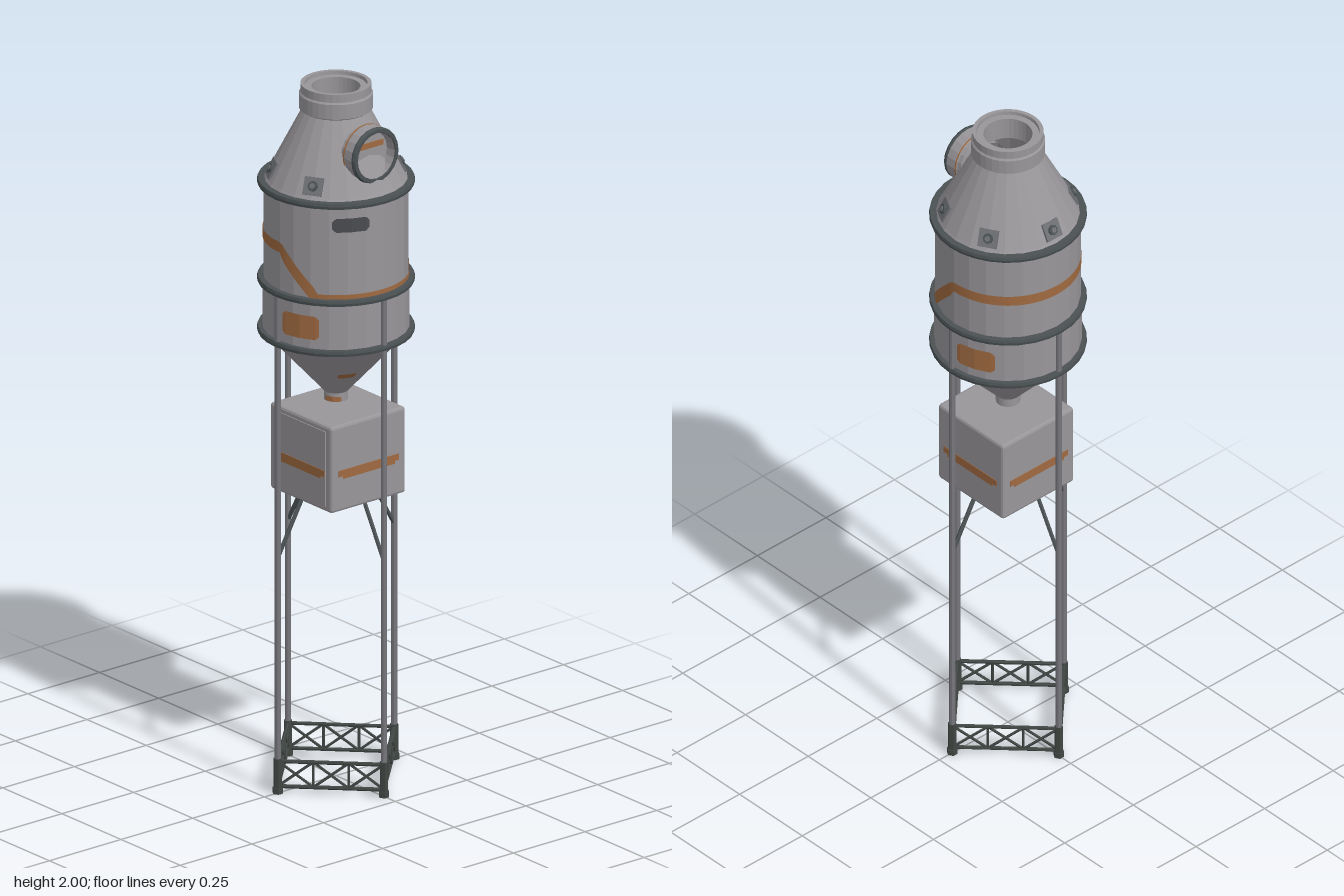
import * as THREE from 'three';
import { RoundedBoxGeometry } from 'three/addons/geometries/RoundedBoxGeometry.js';

function paint(name, color, side = THREE.FrontSide) {
  const m = new THREE.MeshStandardMaterial({ color, side, flatShading: true });
  m.name = name;
  return m;
}

export function createModel() {
  const model = new THREE.Group();
  model.name = 'siloTower';

  const shell = paint('shellGrey', 0x99969a, THREE.DoubleSide);
  const rim = paint('rimDarkGrey', 0x4b5254);
  const steel = paint('legSteel', 0x77767c);
  const base = paint('baseDark', 0x404643);
  const bolt = paint('boltGrey', 0x6e7074);
  const vent = paint('ventCharcoal', 0x4a4c50, THREE.DoubleSide);
  const orange = paint('markingOrange', 0xa06a40, THREE.DoubleSide);

  function add(name, geometry, material, parent = model) {
    const mesh = new THREE.Mesh(geometry, material);
    mesh.name = name;
    parent.add(mesh);
    return mesh;
  }
  const lathe = (pts, n) => new THREE.LatheGeometry(pts.map(p => new THREE.Vector2(p[0], p[1])), n);
  const polar = (a, r, y) => new THREE.Vector3(Math.sin(a) * r, y, Math.cos(a) * r);

  // Straight bar between two points
  function strut(name, a, b, r, sides, material, parent = model) {
    const dir = b.clone().sub(a);
    const m = add(name, new THREE.CylinderGeometry(r, r, dir.length(), sides), material, parent);
    m.position.copy(a).add(b).multiplyScalar(0.5);
    m.quaternion.setFromUnitVectors(new THREE.Vector3(0, 1, 0), dir.normalize());
  }

  // Thin curved plate; rows are [angle in degrees, low y, high y], radius depends on y
  function wrap(name, rows, radius, material) {
    const pos = [], idx = [];
    rows.forEach(([deg, lo, hi], i) => {
      const a = THREE.MathUtils.degToRad(deg);
      pos.push(...polar(a, radius(lo), lo).toArray(), ...polar(a, radius(hi), hi).toArray());
      if (i) idx.push(2 * i - 2, 2 * i, 2 * i - 1, 2 * i, 2 * i + 1, 2 * i - 1);
    });
    const g = new THREE.BufferGeometry();
    g.setAttribute('position', new THREE.Float32BufferAttribute(pos, 3));
    g.setIndex(idx);
    g.computeVertexNormals();
    add(name, g, material);
  }
  // Plate with clipped corners
  const badge = (c, half, lo, hi, cut) => [
    [c - half, lo + cut, hi - cut], [c - half * 0.8, lo, hi], [c, lo, hi],
    [c + half * 0.8, lo, hi], [c + half, lo + cut, hi - cut]];

  // Open-topped vessel: outlet, hopper, drums, shoulder cone
  add('vessel', lathe([[0.033, 1.09], [0.033, 1.115], [0.197, 1.295], [0.199, 1.3],
    [0.199, 1.44], [0.196, 1.445], [0.196, 1.725], [0.19, 1.735], [0.092, 1.925]], 24), shell);
  // Neck with a thicker collar and a stepped inner lip
  add('neck', lathe([[0.066, 1.925], [0.092, 1.925], [0.1, 1.93], [0.1, 1.972], [0.096, 1.977],
    [0.096, 2], [0.085, 2], [0.084, 1.99], [0.066, 1.99], [0.066, 1.925]], 32), shell);

  // Hoops round the vessel
  for (const y of [1.296, 1.441, 1.721]) {
    add('hoop', lathe([[0.19, y - 0.008], [0.211, y - 0.008], [0.213, y], [0.211, y + 0.008],
      [0.19, y + 0.008]], 32), rim);
  }

  // Side inlet on the shoulder, opening towards +x
  const inlet = new THREE.Group();
  inlet.name = 'sideInlet';
  inlet.position.set(0, 1.838, 0);
  inlet.rotation.z = -Math.PI / 2;
  model.add(inlet);
  add('inletPipe', lathe([[0.066, 0.085], [0.066, 0.108], [0.073, 0.11], [0.073, 0.122]], 20), shell, inlet);
  add('inletFlange', lathe([[0.06, 0.122], [0.074, 0.122], [0.078, 0.13], [0.078, 0.166]], 20), shell, inlet);
  add('inletRim', lathe([[0.078, 0.16], [0.0795, 0.161], [0.0795, 0.167], [0.076, 0.1725],
    [0.066, 0.1725], [0.065, 0.168]], 20), rim, inlet);
  add('inletThroat', lathe([[0.065, 0.17], [0.062, 0.14], [0, 0.14]], 20), shell, inlet);
  add('inletBand', lathe([[0.0775, 0.124], [0.0787, 0.124], [0.0787, 0.128], [0.0775, 0.128]], 20), orange, inlet);
  add('inletMark', new THREE.BoxGeometry(0.016, 0.003, 0.095), orange, inlet).position.set(-0.022, 0.142, 0);

  // Lifting lugs lying on the shoulder cone, none under the inlet
  for (let i = 1; i < 6; i++) {
    const a = Math.PI / 2 + i * Math.PI / 3;
    const lug = new THREE.Group();
    lug.name = 'lug';
    lug.position.copy(polar(a, 0.17, 1.76));
    lug.rotation.set(-0.48, a, 0, 'YXZ');
    model.add(lug);
    add('lugPlate', new THREE.BoxGeometry(0.054, 0.05, 0.018), bolt, lug);
    const ring = add('lugCollar', new THREE.CylinderGeometry(0.014, 0.015, 0.008, 8), rim, lug);
    ring.rotation.x = Math.PI / 2;
    ring.position.z = 0.01;
    const pin = add('lugBolt', new THREE.CylinderGeometry(0.008, 0.008, 0.008, 6), bolt, lug);
    pin.rotation.x = Math.PI / 2;
    pin.position.z = 0.013;
  }

  // Painted stripe: high on the -x half, low on the +x half, sloping between
  const stripe = [];
  for (let d = 0; d <= 360; d += 4) {
    const fromFront = d <= 180 ? Math.min(d, 180 - d) : 0;
    const y = 1.573 - 0.126 * THREE.MathUtils.clamp(fromFront / 36, 0, 1);
    const h = fromFront > 0 && fromFront < 36 ? 0.022 : 0.015;
    stripe.push([d, y - h, y + h]);
  }
  wrap('drumStripe', stripe, () => 0.1975, orange);
  for (const c of [21, 201]) wrap('drumPatch', badge(c, 16.5, 1.33, 1.397, 0.01), () => 0.201, orange);
  wrap('ventPanel', badge(62.5, 15, 1.642, 1.682, 0.01), () => 0.199, vent);
  wrap('hopperPatch', badge(67, 14, 1.182, 1.198, 0.003), y => 0.035 + (y - 1.115) * 0.911, orange);
  wrap('outletPatch', badge(35, 40, 1.091, 1.105, 0.002), () => 0.0345, orange);

  // Equipment box with a front panel and painted stripes
  const box = new THREE.Group();
  box.name = 'equipmentBox';
  box.position.set(0.002, 0.947, -0.005);
  model.add(box);
  add('boxBody', new RoundedBoxGeometry(0.26, 0.248, 0.26, 1, 0.008), shell, box);
  add('boxPanel', new THREE.BoxGeometry(0.215, 0.215, 0.006), shell, box).position.z = 0.13;
  for (let i = 0; i < 4; i++) {
    const side = new THREE.Group();
    side.name = 'boxStripe';
    side.rotation.y = i * Math.PI / 2;
    box.add(side);
    const z = i === 0 ? 0.133 : 0.13;
    add('stripeLong', new THREE.BoxGeometry(0.21, 0.018, 0.003), orange, side).position.set(0, -0.014, z);
    add('stripeShort', new THREE.BoxGeometry(0.18, 0.01, 0.003), orange, side).position.set(0, -0.026, z);
  }
  add('bottomStripe', new THREE.BoxGeometry(0.026, 0.003, 0.21), orange, box).position.y = -0.124;

  // Four legs with feet, box braces and base trusses
  const R = 0.203, n = 3, y0 = 0.02, y1 = 0.092;
  for (let i = 0; i < 4; i++) {
    const a = i * Math.PI / 2, b = a + Math.PI / 2;
    strut('leg', polar(a, R, 0), polar(a, R, 1.445), 0.0085, 8, steel);
    strut('foot', polar(a, R, 0), polar(a, R, 0.1), 0.012, 6, base);
    strut('footPad', polar(a, R, 0), polar(a, R, 0.016), 0.015, 6, base);
    strut('boxBrace', polar(a, 0.12, 0.826), polar(a, R, 0.678), 0.006, 6, rim);

    const truss = new THREE.Group();
    truss.name = 'baseTruss';
    model.add(truss);
    const at = (t, y) => polar(a, R, y).lerp(polar(b, R, y), t);
    for (const y of [y0, y1]) strut('rail', at(0, y), at(1, y), 0.0055, 6, base, truss);
    for (let k = 0; k < n; k++) {
      const s = k / n, e = (k + 1) / n;
      strut('diagonal', at(s, y0), at(e, y1), 0.004, 5, base, truss);
      strut('diagonal', at(s, y1), at(e, y0), 0.004, 5, base, truss);
      if (k) strut('post', at(s, y0), at(s, y1), 0.004, 5, base, truss);
    }
  }

  return model;
}
